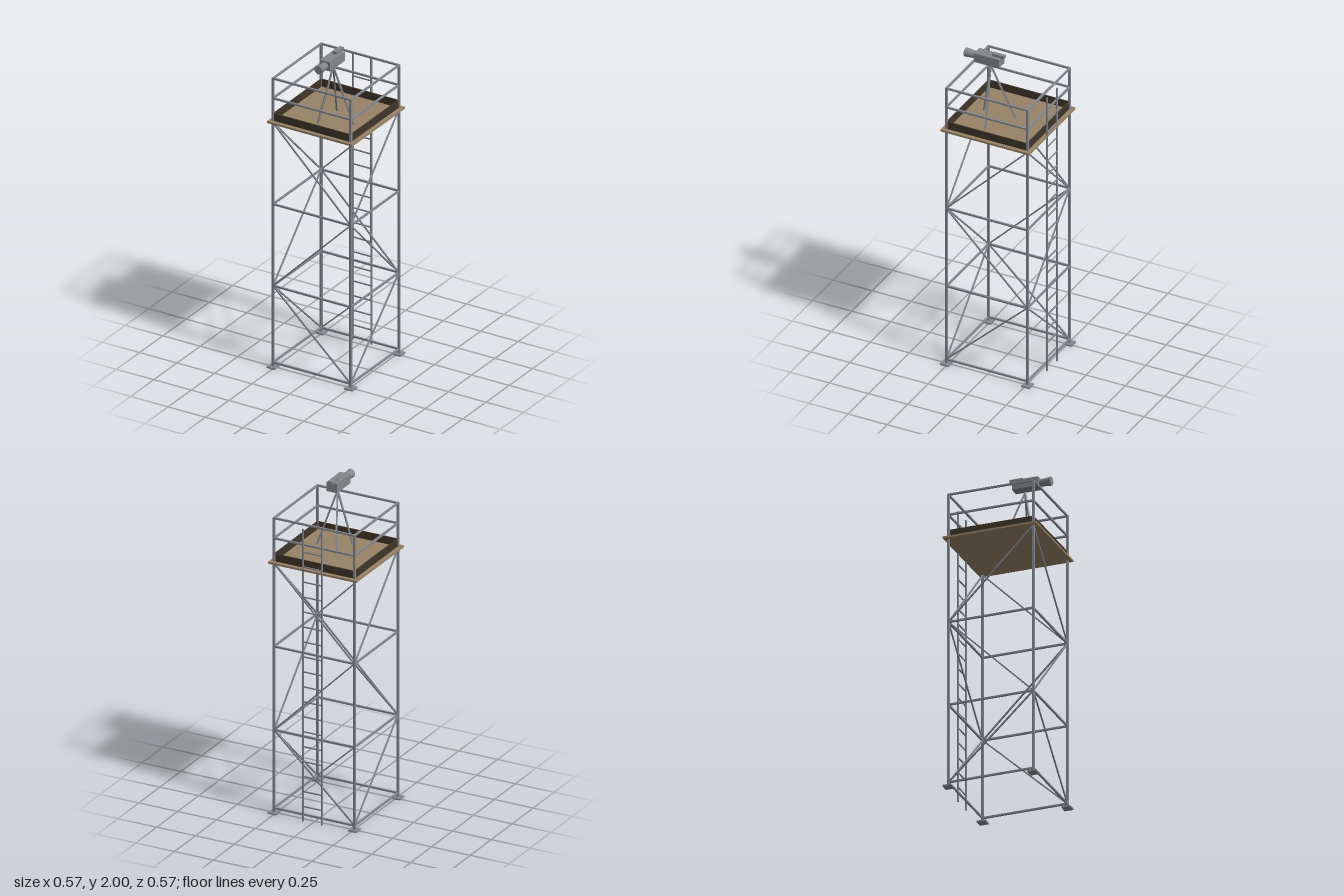
import * as THREE from 'three';

const steel = new THREE.MeshStandardMaterial({ name: 'steel', color: 0x858990 });
const deckWood = new THREE.MeshStandardMaterial({ name: 'deckWood', color: 0x978266 });
const darkWood = new THREE.MeshStandardMaterial({ name: 'darkWood', color: 0x3f3529 });
const cameraGrey = new THREE.MeshStandardMaterial({ name: 'cameraGrey', color: 0x84868a });

const V = (x, y, z) => new THREE.Vector3(x, y, z);

// Square bar between two points, its sides kept level
function bar(parent, name, a, b, width) {
  const mesh = new THREE.Mesh(new THREE.BoxGeometry(width, width, a.distanceTo(b)), steel);
  mesh.name = name;
  mesh.position.copy(a).add(b).multiplyScalar(0.5);
  mesh.lookAt(b);
  parent.add(mesh);
}

function box(parent, name, size, pos, material) {
  const mesh = new THREE.Mesh(new THREE.BoxGeometry(...size), material);
  mesh.name = name;
  mesh.position.set(...pos);
  parent.add(mesh);
}

function group(parent, name) {
  const g = new THREE.Group();
  g.name = name;
  parent.add(g);
  return g;
}

export function createModel() {
  const model = new THREE.Group();
  model.name = 'cameraTower';

  const P = 0.259;                          // post offset from the centre
  const corners = [[P, P], [P, -P], [-P, -P], [-P, P]];
  const levels = [0.032, 0.517, 1.034, 1.55];
  const deckTop = 1.563;
  const at = (i, y) => V(corners[i % 4][0], y, corners[i % 4][1]);

  // Posts, foot plates, horizontals, zigzag braces and guard rails
  const frame = group(model, 'frame');
  const railing = group(model, 'railing');
  for (let i = 0; i < 4; i++) {
    bar(frame, 'post', at(i, 0), at(i, 1.834), 0.0125);
    box(frame, 'footPlate', [0.054, 0.009, 0.054], [corners[i][0], 0.0045, corners[i][1]], steel);

    for (let k = 0; k < 3; k++) {
      bar(frame, 'horizontal', at(i, levels[k]), at(i + 1, levels[k]), 0.0105);
      const rises = (i + k) % 2 === 0;
      bar(frame, 'brace', at(i, levels[rises ? k : k + 1]), at(i + 1, levels[rises ? k + 1 : k]), 0.008);
    }
    for (const y of [1.705, 1.83]) bar(railing, 'guardRail', at(i, y), at(i + 1, y), 0.0105);
  }

  // Deck with toe boards around the edge
  const platform = group(model, 'platform');
  box(platform, 'deck', [0.569, 0.012, 0.569], [0, deckTop - 0.006, 0], deckWood);
  for (const s of [-1, 1]) {
    box(platform, 'toeBoard', [0.5, 0.046, 0.008], [0, deckTop + 0.023, s * 0.257], darkWood);
    box(platform, 'toeBoard', [0.008, 0.046, 0.5], [s * 0.257, deckTop + 0.023, 0], darkWood);
  }

  // Ladder on the back
  const ladder = group(model, 'ladder');
  const lx = 0.061, lz = -0.281;
  for (const s of [-1, 1]) bar(ladder, 'ladderRail', V(s * lx, 0, lz), V(s * lx, 1.812, lz), 0.0085);
  for (let i = 0; i < 18; i++) {
    const y = 0.092 + i * 0.0928;
    bar(ladder, 'rung', V(-lx, y, lz), V(lx, y, lz), 0.0068);
  }

  // Tripod
  const tripod = group(model, 'tripod');
  const apex = V(0.038, 1.912, 0.09);
  for (const [x, z] of [[-0.019, -0.039], [0.158, 0.063], [-0.02, 0.163]]) {
    bar(tripod, 'tripodLeg', apex, V(x, deckTop, z), 0.0095);
  }

  // Camera facing forward
  const camera = group(model, 'camera');
  box(camera, 'cameraBody', [0.067, 0.057, 0.16], [0.0385, 1.9555, 0.101], cameraGrey);
  box(camera, 'viewfinder', [0.026, 0.017, 0.077], [0.0385, 1.9915, 0.038], cameraGrey);
  const lens = new THREE.Mesh(new THREE.CylinderGeometry(0.0265, 0.021, 0.073, 20), cameraGrey);
  lens.name = 'lens';
  lens.rotation.x = Math.PI / 2;
  lens.position.set(0.0385, 1.9555, 0.2145);
  camera.add(lens);

  return model;
}
